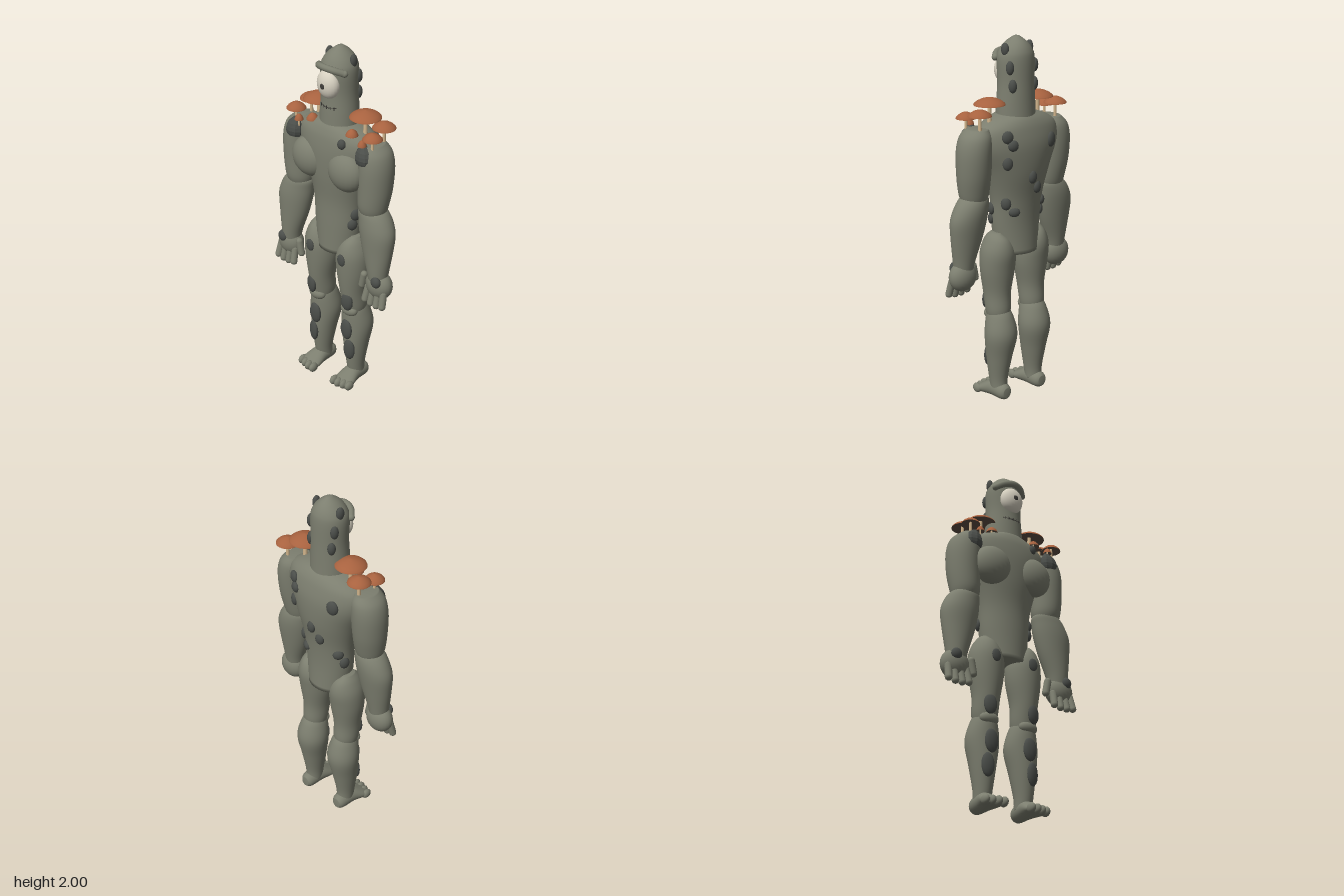
import * as THREE from 'three';

const mat = (name, color) => {
  const m = new THREE.MeshStandardMaterial({ color });
  m.name = name;
  return m;
};

// Smoothly interpolated cross-section [y, cx, rx, cz, rz] between rows i and i + 1
function blend(rows, i, t) {
  const at = k => rows[Math.min(Math.max(k, 0), rows.length - 1)];
  const [a, b, c, d] = [at(i - 1), at(i), at(i + 1), at(i + 2)];
  return b.map((v, k) => v + 0.5 * t * (c[k] - a[k]
    + t * (2 * a[k] - 5 * v + 4 * c[k] - d[k] + t * (3 * (v - c[k]) + d[k] - a[k]))));
}

// Closed skin over elliptical cross-sections listed from bottom to top
function loft(rows, seg = 32, sub = 5) {
  const rings = [];
  for (let i = 0; i < rows.length - 1; i++)
    for (let k = 0; k < sub; k++) rings.push(blend(rows, i, k / sub));
  rings.push(rows[rows.length - 1]);
  const pos = [], idx = [];
  for (const [y, cx, rx, cz, rz] of rings)
    for (let j = 0; j < seg; j++) {
      const t = j / seg * Math.PI * 2;
      pos.push(cx + rx * Math.sin(t), y, cz + rz * Math.cos(t));
    }
  const n = rings.length, low = n * seg, high = low + 1;
  for (const r of [rings[0], rings[n - 1]]) pos.push(r[1], r[0], r[3]);
  for (let j = 0; j < seg; j++) {
    const k = (j + 1) % seg;
    for (let i = 0; i < n - 1; i++) {
      const a = i * seg + j, b = i * seg + k;
      idx.push(a, b, b + seg, a, b + seg, a + seg);
    }
    idx.push(low, k, j, high, (n - 1) * seg + j, (n - 1) * seg + k);
  }
  const g = new THREE.BufferGeometry();
  g.setAttribute('position', new THREE.Float32BufferAttribute(pos, 3));
  g.setIndex(idx);
  g.computeVertexNormals();
  return g;
}

export function createModel() {
  const skin = mat('stone skin', 0x7c7e6f), rock = mat('dark rock', 0x4b4e4a);
  const capRed = mat('mushroom cap', 0xa8623f), gillDark = mat('gills', 0x5e5044);
  const cream = mat('mushroom stem', 0xd2b58c), white = mat('eye white', 0xd6d0c0);
  const dark = mat('pupil and mouth', 0x3f3d39);
  const model = new THREE.Group();
  model.name = 'oneEyedGiant';

  const add = (name, geo, m, parent = model) => {
    const mesh = new THREE.Mesh(geo, m);
    mesh.name = name;
    parent.add(mesh);
    return mesh;
  };
  const ball = (name, m, p, r, parent) => {
    const b = add(name, new THREE.SphereGeometry(1, 24, 16), m, parent);
    b.position.set(...p);
    b.scale.set(...r);
    return b;
  };
  const rod = (name, m, points, r, parent) => add(name, new THREE.TubeGeometry(
    new THREE.CatmullRomCurve3(points.map(p => new THREE.Vector3(...p))), 16, r, 10), m, parent);
  const mirror = (rows, s) => rows.map(([y, cx, ...r]) => [y, cx * s, ...r]);

  // Flattened rock patch lying on a lofted part; face is 1 for front, -1 for back
  const patch = (rows, x, y, face, w, h, depth = 0.018) => {
    let i = 0;
    while (i < rows.length - 2 && rows[i + 1][0] < y) i++;
    const [, cx, rx, cz, rz] = blend(rows, i, (y - rows[i][0]) / (rows[i + 1][0] - rows[i][0]));
    const sx = THREE.MathUtils.clamp((x - cx) / rx, -0.99, 0.99), c = face * Math.sqrt(1 - sx * sx);
    const p = add('rockPatch', new THREE.SphereGeometry(1, 12, 8), rock);
    p.position.set(cx + rx * sx, y, cz + rz * c);
    p.rotation.y = Math.atan2(sx / rx, c / rz);
    p.scale.set(w, h, depth);
  };

  // Torso and head
  const torso = [[0.84, 0, 0.125, -0.005, 0.108], [1, 0, 0.143, -0.003, 0.107], [1.15, 0, 0.158, -0.008, 0.114],
    [1.3, 0, 0.2, -0.012, 0.136], [1.43, 0, 0.255, -0.012, 0.142], [1.52, 0, 0.255, -0.008, 0.13],
    [1.57, 0, 0.19, -0.005, 0.112], [1.6, 0, 0.1, 0, 0.09]];
  const head = [[1.55, 0, 0.112, -0.005, 0.1], [1.65, 0, 0.107, -0.006, 0.097], [1.76, 0, 0.1, -0.008, 0.094],
    [1.88, 0, 0.102, -0.006, 0.096], [1.93, 0, 0.087, -0.008, 0.085], [1.97, 0, 0.054, -0.01, 0.058],
    [2, 0, 0.013, -0.012, 0.016]];
  add('torso', loft(torso, 48), skin);
  add('head', loft(head, 40), skin);

  // Face
  ball('eye', white, [0, 1.815, 0.075], [0.069, 0.078, 0.048]);
  ball('pupil', dark, [0, 1.815, 0.122], [0.015, 0.015, 0.004]);
  rod('brow', skin, [[-0.09, 1.888, 0.052], [-0.05, 1.905, 0.088], [0, 1.912, 0.102],
    [0.05, 1.905, 0.088], [0.09, 1.888, 0.052]], 0.018);
  for (const s of [1, -1]) ball('browEnd', skin, [0.09 * s, 1.888, 0.052], [0.018, 0.018, 0.018]);
  rod('mouth', dark, [[-0.055, 1.695, 0.074], [0, 1.69, 0.09], [0.055, 1.695, 0.074]], 0.0025);
  for (const x of [-0.045, -0.025, 0, 0.025, 0.045]) {
    const z = -0.006 + 0.097 * Math.sqrt(1 - (x / 0.104) ** 2);
    rod('mouthStitch', dark, [[x, 1.682, z], [x, 1.69, z], [x, 1.7, z]], 0.002);
  }

  const upperArm = [[1.15, 0.265, 0.07, 0.02, 0.065], [1.2, 0.266, 0.083, 0.02, 0.08], [1.3, 0.272, 0.091, 0.012, 0.093],
    [1.42, 0.272, 0.093, 0.007, 0.1], [1.5, 0.262, 0.083, 0.005, 0.093], [1.545, 0.25, 0.05, 0.005, 0.068]];
  const forearm = [[0.76, 0.325, 0.052, 0.04, 0.048], [0.83, 0.322, 0.063, 0.038, 0.057], [0.95, 0.31, 0.092, 0.03, 0.07],
    [1.05, 0.301, 0.108, 0.024, 0.079], [1.12, 0.285, 0.101, 0.02, 0.078], [1.17, 0.267, 0.083, 0.02, 0.068],
    [1.19, 0.265, 0.05, 0.02, 0.045]];
  const thigh = [[0.46, 0.12, 0.055, 0, 0.06], [0.52, 0.121, 0.068, 0, 0.072], [0.62, 0.12, 0.074, 0.01, 0.08],
    [0.75, 0.118, 0.095, 0.008, 0.095], [0.85, 0.119, 0.093, 0.003, 0.101], [0.92, 0.126, 0.062, 0, 0.08],
    [0.96, 0.138, 0.022, 0, 0.038]];
  const calf = [[0.05, 0.126, 0.045, -0.012, 0.05], [0.12, 0.126, 0.05, -0.006, 0.056], [0.25, 0.124, 0.07, -0.012, 0.076],
    [0.38, 0.121, 0.09, -0.024, 0.09], [0.48, 0.12, 0.072, -0.012, 0.079], [0.53, 0.12, 0.05, -0.005, 0.055]];
  // Foot sections run from heel to toe; the fourth value is minus the height
  const foot = [[-0.085, 0.128, 0.025, -0.045, 0.028], [-0.06, 0.128, 0.042, -0.046, 0.044], [0.02, 0.128, 0.05, -0.05, 0.048],
    [0.09, 0.132, 0.062, -0.034, 0.032], [0.13, 0.133, 0.052, -0.025, 0.018]];

  for (const s of [1, -1]) {
    ball('chestMuscle', skin, [0.13 * s, 1.365, 0.08], [0.114, 0.112, 0.075]);

    // Arm and hand
    add('upperArm', loft(mirror(upperArm, s)), skin);
    add('forearm', loft(mirror(forearm, s)), skin);
    const hand = new THREE.Group();
    hand.name = 'hand';
    model.add(hand);
    ball('palm', skin, [0.333 * s, 0.745, 0.038], [0.082, 0.082, 0.06], hand);
    [0.275, 0.313, 0.352, 0.39].forEach((x, i) => {
      const f = add('finger', new THREE.CapsuleGeometry(0.02, 0.075, 6, 12), skin, hand);
      f.position.set(x * s, 0.679 - (i % 3 ? 0.004 : -0.004), 0.072);
      f.rotation.set(-0.25, 0, (x - 0.333) * s * 1.5);
    });
    const thumb = add('thumb', new THREE.CapsuleGeometry(0.02, 0.07, 6, 12), skin, hand);
    thumb.position.set(0.238 * s, 0.745, 0.06);
    thumb.rotation.z = -0.2 * s;
    ball('wristRock', rock, [0.35 * s, 0.785, 0.085], [0.031, 0.033, 0.022], hand);

    // Leg and foot
    const t = mirror(thigh, s), c = mirror(calf, s);
    add('thigh', loft(t), skin);
    add('calf', loft(c), skin);
    ball('kneecap', skin, [0.122 * s, 0.49, 0.045], [0.056, 0.036, 0.034]);
    add('foot', loft(mirror(foot, s)).rotateX(Math.PI / 2), skin);
    for (const x of [0.083, 0.117, 0.151, 0.184])
      ball('toe', skin, [x * s, 0.03, 0.125 - Math.max(0, x - 0.117) * 0.25], [0.019, 0.027, 0.031]);

    // Rocks mirrored on both sides
    patch(t, 0.117 * s, 0.83, 1, 0.028, 0.036, 0.01);
    patch(t, 0.135 * s, 0.56, 1, 0.037, 0.056);
    patch(c, 0.12 * s, 0.365, 1, 0.041, 0.065);
    patch(c, 0.138 * s, 0.235, 1, 0.036, 0.066);
    patch(head, 0.083 * s, 1.935, -1, 0.024, 0.036);
    patch(head, 0.085 * s, 1.845, -1, 0.022, 0.037);
    patch(head, 0.075 * s, 1.75, -1, 0.022, 0.036);
    const peak = add('shoulderRock', loft([[1.45, 0.25 * s, 0.045, 0.08, 0.03], [1.48, 0.25 * s, 0.054, 0.08, 0.037],
      [1.52, 0.247 * s, 0.042, 0.075, 0.032], [1.552, 0.24 * s, 0.014, 0.07, 0.012]], 9, 2).toNonIndexed(), rock);
    peak.geometry.computeVertexNormals();

    // Mushroom cluster: distance from middle, z, cap base, cap radius, cap height
    const shift = s > 0 ? 0.03 : 0;
    for (const [x, z, y, r, h] of [[0.15, -0.008, 1.66, 0.084, 0.04], [0.244, -0.045, 1.618, 0.062, 0.037],
      [0.256, 0.055, 1.592, 0.053, 0.037], [0.125, 0.066, 1.575, 0.033, 0.036], [0.21, 0.082, 1.55, 0.024, 0.034]]) {
      const m = new THREE.Group();
      m.name = 'mushroom';
      m.position.set((x + shift) * s, y, z);
      model.add(m);
      const v = (a, b) => new THREE.Vector2(a * r, b * h);
      add('cap', new THREE.LatheGeometry([v(1, 0), v(0.97, 0.16), v(0.8, 0.46), v(0.55, 0.73), v(0.25, 0.92), v(0, 1)], 28), capRed, m);
      add('gills', new THREE.LatheGeometry([v(0, 0.4), v(0.5, 0.22), v(1, 0)], 28), gillDark, m);
      const len = y - 1.48;
      add('stem', new THREE.CylinderGeometry(r * 0.1 + 0.002, r * 0.12 + 0.003, len, 12), cream, m).position.y = 0.4 * h - len / 2;
    }
  }

  // Rocks scattered over the torso: x, y, face, width, height
  for (const p of [[0.12, 1.525, 1, 0.024, 0.028], [0.145, 1.09, 1, 0.03, 0.035], [0.135, 1.03, 1, 0.028, 0.032],
    [-0.14, 1.05, -1, 0.028, 0.035], [0.15, 1.5, -1, 0.032, 0.035], [0.125, 1.455, -1, 0.03, 0.03],
    [0.15, 1.36, -1, 0.028, 0.036], [-0.14, 1.45, -1, 0.034, 0.042], [0, 1.27, -1, 0.026, 0.036],
    [-0.045, 1.205, -1, 0.027, 0.034], [-0.125, 1.11, -1, 0.03, 0.028], [0.125, 1.13, -1, 0.028, 0.035],
    [0.085, 1.08, -1, 0.032, 0.025]]) patch(torso, ...p);

  return model;
}
